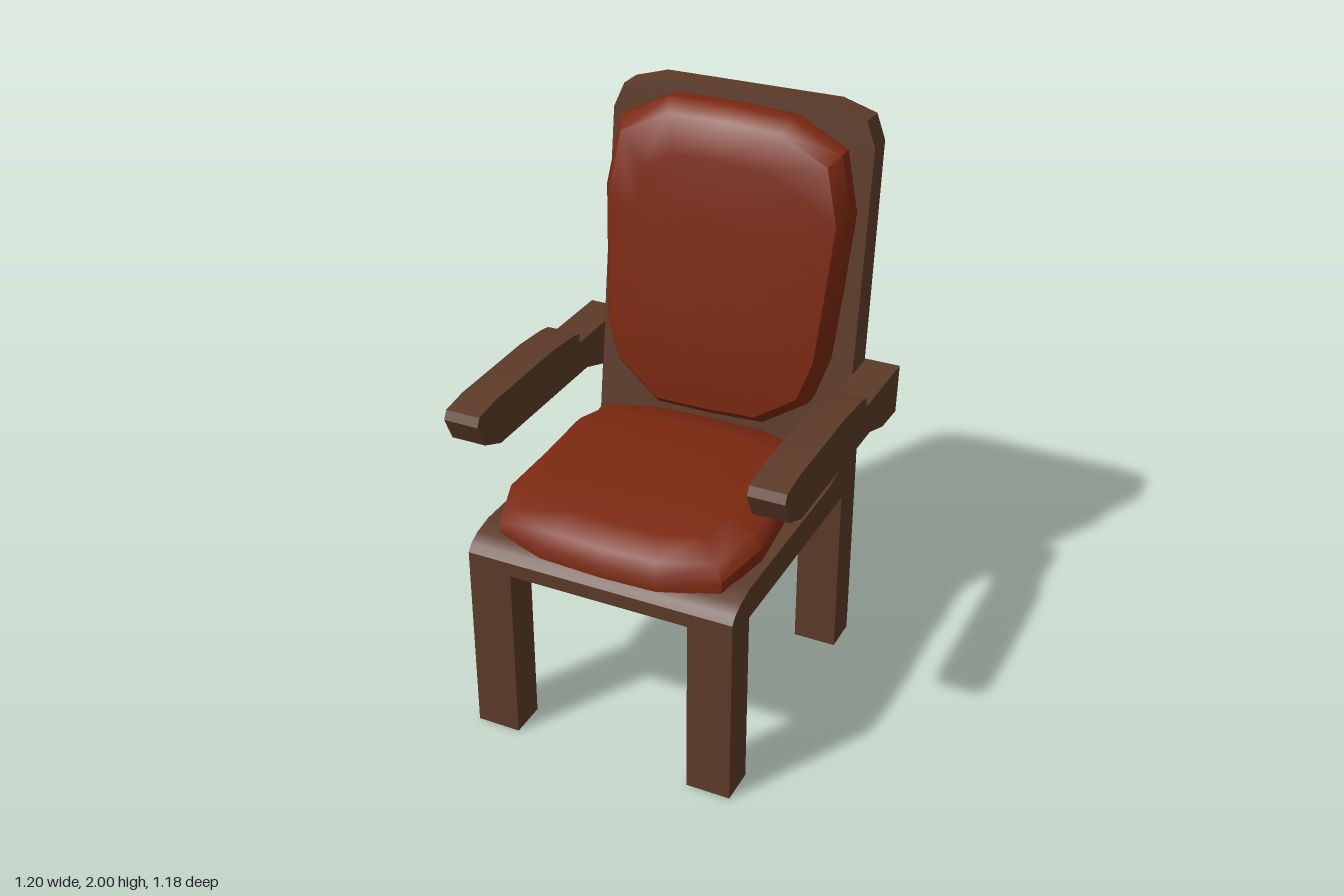
import * as THREE from 'three';
import { toCreasedNormals } from 'three/addons/utils/BufferGeometryUtils.js';

const wood = new THREE.MeshStandardMaterial({ color: 0x5c3a28, name: 'brownWood' });
const leather = new THREE.MeshStandardMaterial({ color: 0x7a2810, name: 'redLeather' });

const toShape = (pts) => new THREE.Shape(pts.map(([x, y]) => new THREE.Vector2(x, y)));

function part(group, name, geometry, material) {
  const mesh = new THREE.Mesh(geometry, material);
  mesh.name = name;
  group.add(mesh);
  return mesh;
}

// Side profile given as (z, y), extruded along x and centred on x
function sideExtrude(profile, width, x) {
  const geo = new THREE.ExtrudeGeometry(toShape(profile), { depth: width, bevelEnabled: false });
  geo.rotateY(-Math.PI / 2);
  geo.translate(x + width / 2, 0, 0);
  return toCreasedNormals(geo, 0.5);
}

// Padded shape: rings of [scale, height] around a centre, placed by a rule
function cushion(outline, [cu, cv], rings, place) {
  const n = outline.length, pos = [], idx = [];
  for (const [s, t] of rings) {
    for (const [u, v] of outline) pos.push(...place(cu + (u - cu) * s, cv + (v - cv) * s, t));
  }
  for (let i = 0; i < rings.length - 1; i++) {
    for (let j = 0; j < n; j++) {
      const a = i * n + j, b = i * n + (j + 1) % n;
      idx.push(a, b, b + n, a, b + n, a + n);
    }
  }
  const geo = new THREE.BufferGeometry();
  geo.setAttribute('position', new THREE.Float32BufferAttribute(pos, 3));
  geo.setIndex(idx);
  return toCreasedNormals(geo, 0.75);
}

// Slanted planes of the backrest
const backFront = (y) => -0.34 - 0.16 * (y - 0.775) / 1.225;
const backRear = (y) => -0.47 - 0.12 * (y - 0.775) / 1.225;

export function createModel() {
  const chair = new THREE.Group();
  chair.name = 'armchair';

  // Seat frame with a rounded front edge
  part(chair, 'seatFrame', sideExtrude([
    [-0.47, 0.64], [0.59, 0.64], [0.59, 0.69], [0.57, 0.715], [0.53, 0.735], [0.46, 0.75],
    [-0.2, 0.75], [-0.34, 0.775], [-0.47, 0.775],
  ], 0.95, 0), wood);

  // Legs
  for (const side of [1, -1]) {
    for (const [name, z] of [['frontLeg', 0.525], ['backLeg', -0.405]]) {
      const leg = part(chair, name, new THREE.BoxGeometry(0.155, 0.64, 0.13), wood);
      leg.position.set(side * 0.3975, 0.32, z);
    }
  }

  // Backrest panel, leaning backwards
  const panel = new THREE.ExtrudeGeometry(toShape([
    [-0.475, 0.775], [0.475, 0.775], [0.475, 1.88], [0.44, 1.965], [0.32, 2],
    [-0.32, 2], [-0.44, 1.965], [-0.475, 1.88],
  ]), { depth: 1, bevelEnabled: false });
  const p = panel.attributes.position;
  for (let i = 0; i < p.count; i++) {
    const y = p.getY(i);
    p.setZ(i, p.getZ(i) > 0.5 ? backFront(y) : backRear(y));
  }
  part(chair, 'backPanel', toCreasedNormals(panel, 0.7), wood);

  // Armrests: rear bracket stepping up to a rounded pad
  for (const [name, side] of [['leftArmrest', 1], ['rightArmrest', -1]]) {
    part(chair, name, sideExtrude([
      [-0.5, 0.935], [-0.37, 0.94], [-0.24, 0.985], [0.36, 0.985], [0.455, 1.025], [0.495, 1.11],
      [0.48, 1.14], [0.38, 1.155], [0, 1.16], [-0.14, 1.15], [-0.19, 1.14], [-0.19, 1.105],
      [-0.515, 1.105],
    ], 0.125, side * 0.5355), wood);
  }

  // Seat cushion, outline as (x, -z), drooping over the front edge
  part(chair, 'seatCushion', cushion([
    [0, -0.575], [0.2, -0.57], [0.4, -0.51], [0.455, -0.32], [0.44, -0.1], [0.455, 0.12],
    [0.4, 0.27], [0.2, 0.33], [0, 0.335], [-0.2, 0.33], [-0.4, 0.28], [-0.46, 0.12],
    [-0.45, -0.1], [-0.46, -0.33], [-0.4, -0.51], [-0.22, -0.565],
  ], [0, -0.12],
  [[0, 0], [0.93, 0], [1, 0.25], [1, 0.6], [0.93, 0.87], [0.7, 0.97], [0.35, 1], [0, 1]],
  (u, v, t) => [u, 0.745 + 0.13 * t - 0.22 * Math.max(0, -v - 0.08) ** 2, -v]), leather);

  // Back cushion following the lean of the panel
  part(chair, 'backCushion', cushion([
    [0, 0.905], [0.2, 0.915], [0.36, 1.02], [0.41, 1.17], [0.43, 1.4], [0.45, 1.68],
    [0.4, 1.88], [0.22, 1.97], [0, 1.98], [-0.22, 1.98], [-0.4, 1.89], [-0.44, 1.65],
    [-0.425, 1.4], [-0.41, 1.16], [-0.36, 1.03], [-0.2, 0.905],
  ], [0, 1.44],
  [[0, -0.05], [0.95, -0.05], [1, 0.25], [1, 0.58], [0.93, 0.87], [0.7, 0.97], [0.35, 1], [0, 1]],
  (u, v, t) => [u, v, backFront(v) + 0.168 * t]), leather);

  return chair;
}
